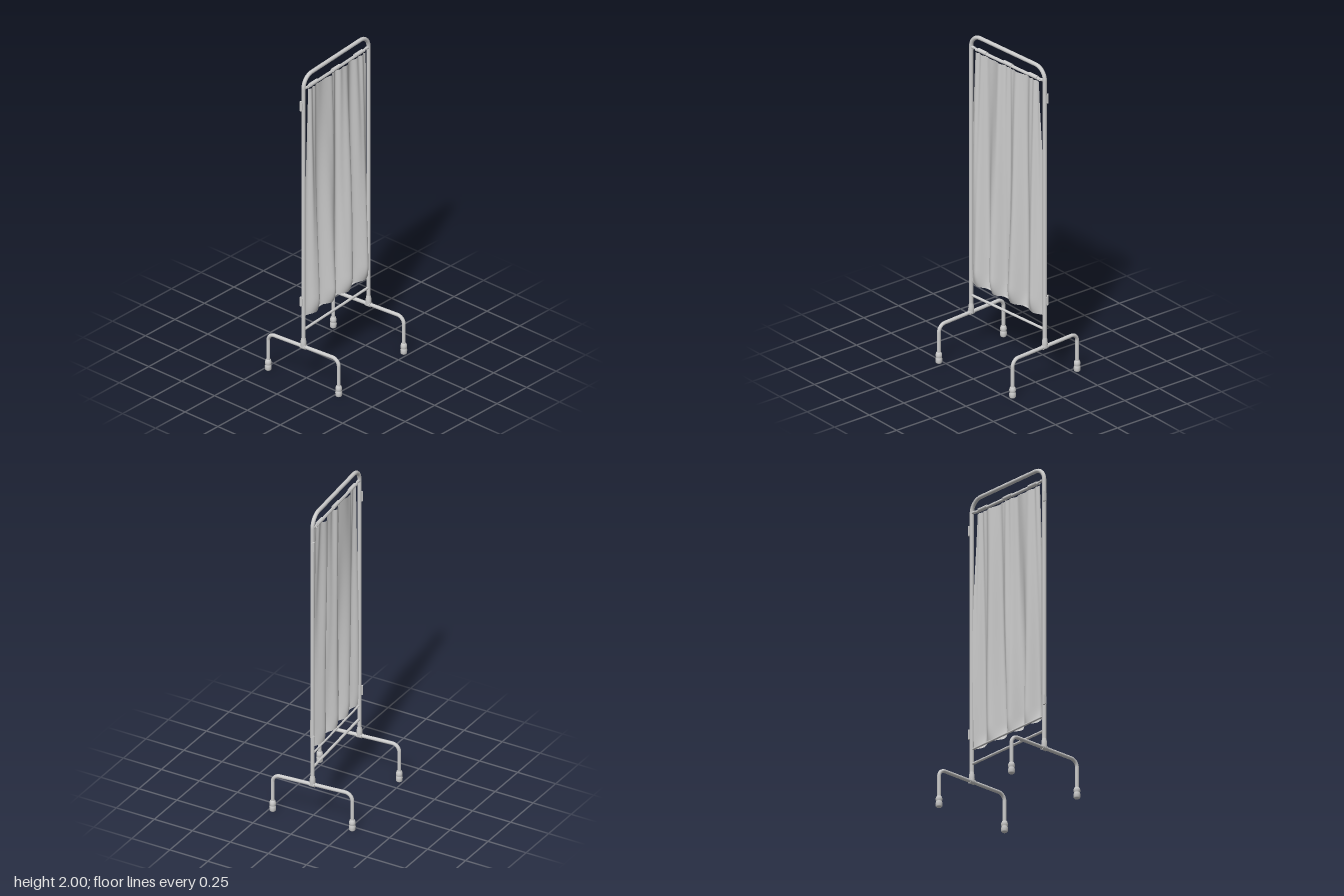
import * as THREE from 'three';

const grey = new THREE.MeshStandardMaterial({ color: 0xcccccc });
const cloth = new THREE.MeshStandardMaterial({ color: 0xcccccc, side: THREE.DoubleSide });
const V = (x, y, z) => new THREE.Vector3(x, y, z);
const HALF = 0.305; // half distance between the posts

function add(parent, name, geometry, x = 0, y = 0, z = 0) {
  const mesh = new THREE.Mesh(geometry, grey);
  mesh.name = name;
  mesh.position.set(x, y, z);
  parent.add(mesh);
  return mesh;
}

// Bent pipe through straight runs with rounded corners
function bentPipe(points, bend, radius) {
  const path = new THREE.CurvePath();
  let start = points[0];
  for (let i = 1; i < points.length - 1; i++) {
    const p = points[i];
    const into = p.clone().sub(points[i - 1]).normalize();
    const out = points[i + 1].clone().sub(p).normalize();
    const a = p.clone().addScaledVector(into, -bend);
    const b = p.clone().addScaledVector(out, bend);
    const k = bend * 0.5523;
    path.add(new THREE.LineCurve3(start, a));
    path.add(new THREE.CubicBezierCurve3(a, a.clone().addScaledVector(into, k), b.clone().addScaledVector(out, -k), b));
    start = b;
  }
  path.add(new THREE.LineCurve3(start, points[points.length - 1]));
  return new THREE.TubeGeometry(path, 220, radius, 14, false);
}

function rodZ(radius, length) {
  return new THREE.CylinderGeometry(radius, radius, length, 14).rotateX(Math.PI / 2);
}

function lathe(profile) {
  return new THREE.LatheGeometry(profile.map(([r, y]) => new THREE.Vector2(r, y)), 20);
}

// Hanging cloth: pleats deepen downward, sag to +x and tuck in at the hem
function curtainGeometry() {
  const g = new THREE.PlaneGeometry(1, 1, 150, 90);
  const p = g.attributes.position;
  for (let i = 0; i < p.count; i++) {
    const u = p.getX(i) * 2;
    const t = 0.5 - p.getY(i);
    const z = u * (0.265 + 0.027 * Math.sin(Math.min(1, t * 1.6) * Math.PI / 2));
    const fold = Math.cos((z - 0.08 + 0.008 * Math.sin(t * 5 + u * 4)) / 0.155 * Math.PI * 2);
    const edge = 1 - 0.35 * u * u;
    const hem = Math.pow(Math.max(0, (t - 0.93) / 0.07), 2);
    const crease = 0.004 * Math.sin(z * 105 + Math.sin(u * 7) * 2) * (1 - t * 0.8);
    const sag = 0.025 * t * edge;
    const depth = (0.012 + 0.025 * t) * edge;
    const x = (0.002 + sag + depth * fold + crease) * (1 - hem * 0.55) + hem * 0.006;
    const y = 1.89 - 1.455 * t + 0.006 * fold * (1 - t) * (1 - t);
    p.setXYZ(i, x, y, z);
  }
  g.computeVertexNormals();
  return g;
}

export function createModel() {
  const group = new THREE.Group();
  group.name = 'foldingScreen';

  // Upright frame
  add(group, 'frame', bentPipe([V(0, 0.235, -HALF), V(0, 1.988, -HALF), V(0, 1.988, HALF), V(0, 0.235, HALF)], 0.075, 0.012));
  add(group, 'lowerRail', rodZ(0.008, HALF * 2), 0, 0.345, 0);
  add(group, 'hemRail', rodZ(0.006, HALF * 2), 0, 0.436, 0);
  add(group, 'curtainRail', rodZ(0.006, HALF * 2), 0, 1.91, 0);

  for (const side of [-1, 1]) {
    const z = side * HALF;
    // Foot bar with two bent legs
    add(group, 'legBar', bentPipe([V(-0.25, 0.04, z), V(-0.25, 0.237, z), V(0.25, 0.237, z), V(0.25, 0.04, z)], 0.045, 0.011));
    for (const x of [-0.25, 0.25]) {
      add(group, 'footCap', lathe([[0, 0], [0.015, 0], [0.019, 0.006], [0.02, 0.025], [0.017, 0.034],
        [0.016, 0.037], [0.019, 0.042], [0.019, 0.054], [0.015, 0.066], [0.011, 0.068]]), x, 0, z);
    }
    // Joint between post and foot bar
    add(group, 'postSocket', lathe([[0.016, 0.232], [0.017, 0.255], [0.016, 0.275], [0.012, 0.295]]), 0, 0, z);
    add(group, 'barSleeve', new THREE.CylinderGeometry(0.015, 0.015, 0.034, 16).rotateZ(Math.PI / 2), 0, 0.237, z);
    // Hinges on the outer side of the post
    for (const y of [0.53, 1.8]) {
      add(group, 'hingePin', new THREE.CylinderGeometry(0.006, 0.006, 0.06, 12), -0.011, y, z + side * 0.011);
      add(group, 'hingePlate', new THREE.BoxGeometry(0.014, 0.045, 0.008), -0.005, y, z + side * 0.011);
    }
    add(group, 'railEnd', rodZ(0.009, 0.02), 0, 1.91, z - side * 0.018);
  }

  // Curtain with hanging loops
  const curtain = add(group, 'curtain', curtainGeometry());
  curtain.material = cloth;
  const heading = add(group, 'curtainHeading', new THREE.CylinderGeometry(0.009, 0.009, 0.53, 14, 1, true).rotateX(Math.PI / 2), 0, 1.905, 0);
  heading.material = cloth;
  for (const z of [-0.21, 0, 0.21]) {
    add(group, 'curtainLoop', rodZ(0.012, 0.07), 0, 1.909, z);
  }

  // The whole screen stands slightly turned
  group.rotation.y = 0.084;
  return group;
}
